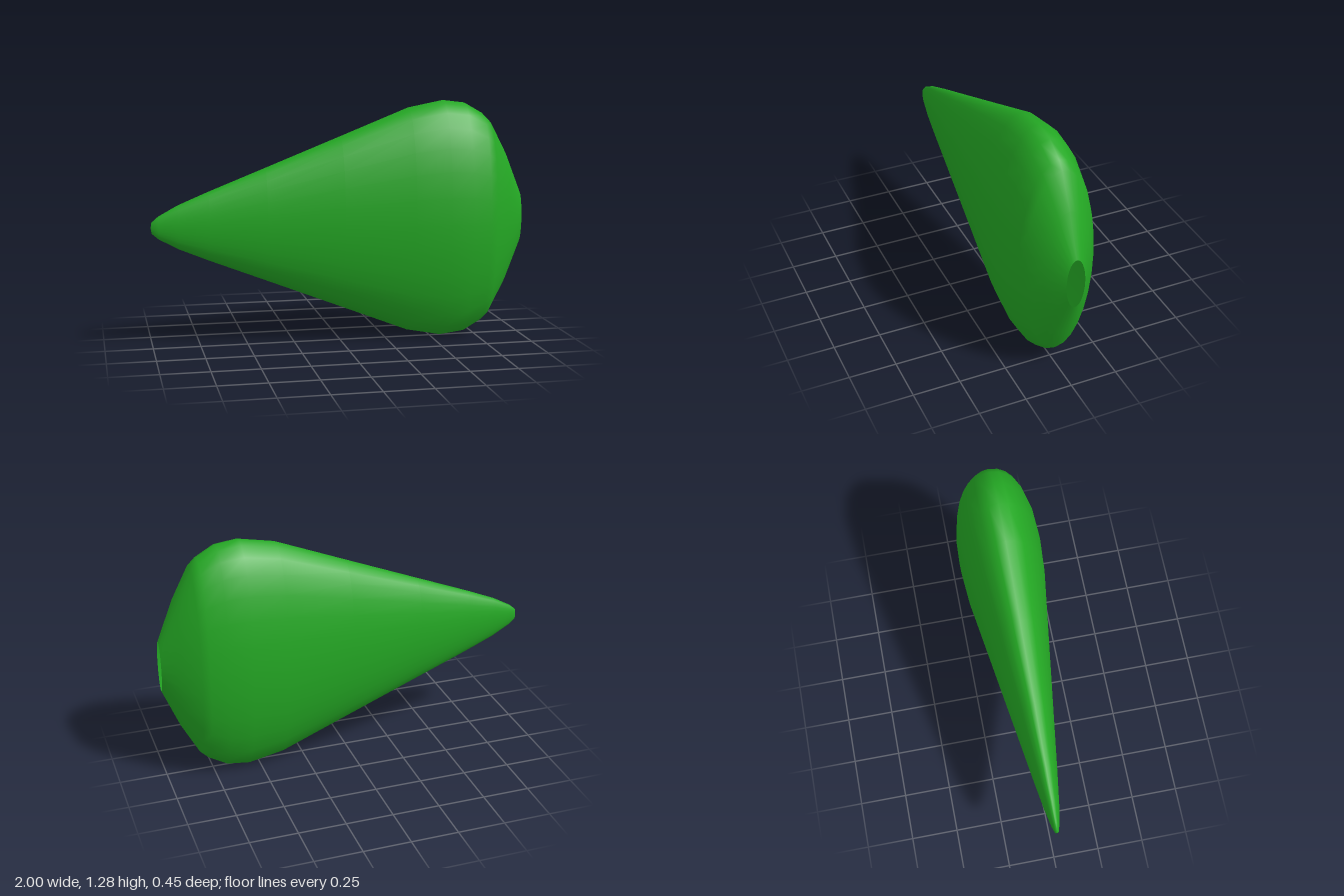
import * as THREE from 'three';

export function createModel() {
  const group = new THREE.Group();
  group.name = 'flattenedCone';

  const green = new THREE.MeshStandardMaterial({ color: 0x24a824, side: THREE.DoubleSide });
  green.name = 'leaf green';

  // Profile from the pointed tip to the open mouth: [half height, position along x]
  const profile = [
    [0, -1], [0.03, -0.995], [0.06, -0.96], [0.115, -0.86], [0.182, -0.7],
    [0.3, -0.4], [0.458, 0], [0.605, 0.37], [0.642, 0.56], [0.627, 0.68],
    [0.57, 0.78], [0.53, 0.82], [0.36, 0.91], [0.14, 1],
  ].map(([r, x]) => new THREE.Vector2(r, x));

  // Hollow shell, turned onto its side and flattened front to back
  const geometry = new THREE.LatheGeometry(profile, 28);
  geometry.rotateZ(-Math.PI / 2);
  geometry.scale(1, 1, 0.352);
  geometry.translate(0, 0.642, 0);

  const shell = new THREE.Mesh(geometry, green);
  shell.name = 'hollowShell';
  group.add(shell);
  return group;
}
